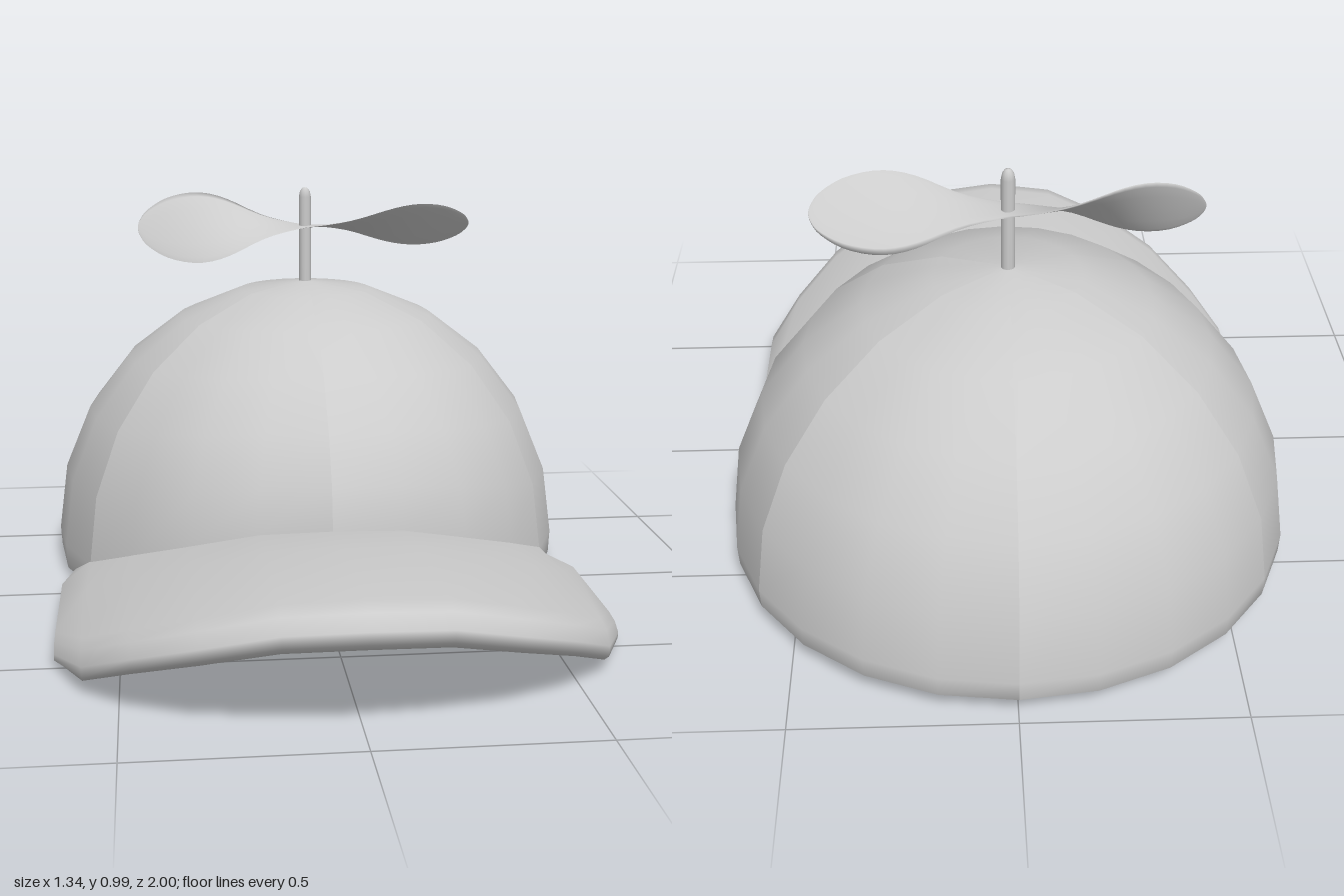
import * as THREE from 'three';

const R = 0.67, INNER = 0.61, CY = 0.084, CZ = -0.33;
const STEP = Math.PI / 12;
const { lerp, clamp } = THREE.MathUtils;

// Smooth surface from a rows x cols grid; point(i, j) returns [x, y, z]
function gridSurface(rows, cols, point) {
  const pos = [], index = [];
  for (let i = 0; i < rows; i++) for (let j = 0; j < cols; j++) pos.push(...point(i, j));
  for (let i = 0; i < rows - 1; i++) {
    for (let j = 0; j < cols - 1; j++) {
      const a = i * cols + j, b = a + cols;
      index.push(a, b, a + 1, a + 1, b, b + 1);
    }
  }
  const geo = new THREE.BufferGeometry();
  geo.setAttribute('position', new THREE.Float32BufferAttribute(pos, 3));
  geo.setIndex(index);
  geo.computeVertexNormals();
  return geo;
}

// Height of the cap's lower edge: arched in front, rising gently to the back
function rimHeight(k) {
  const n = Math.abs(k > 12 ? k - 24 : k);
  const front = [0.19, 0.18, 0.135, 0.08, 0.012, 0.008];
  return n < front.length ? front[n] : 0.058 - 0.055 * (CZ + R * Math.cos(n * STEP) + 1);
}

// Radius and height down the outside, round the rim and up the inside
function crownProfile(rim) {
  const p = [];
  const waist = Math.max(CY, rim + 0.065);
  // the arch in front pushes the lower rings of the ball upward
  const ball = (r, n) => p.push([r * Math.sin(n * STEP),
    CY + r * Math.cos(n * STEP) + (waist - CY) * (n / 6) ** 3]);
  for (let n = 0; n <= 6; n++) ball(R, n);
  p.push([R - 0.003, rim + 0.016], [R - 0.02, rim], [INNER + 0.012, rim], [INNER, rim + 0.02]);
  for (let n = 6; n >= 0; n--) ball(INNER, n);
  return p;
}

export function createModel() {
  const model = new THREE.Group();
  const mat = new THREE.MeshStandardMaterial({ color: 0xcccccc });
  const thin = new THREE.MeshStandardMaterial({ color: 0xcccccc, side: THREE.DoubleSide });
  const add = (name, geo, parent = model, material = mat) => {
    const mesh = new THREE.Mesh(geo, material);
    mesh.name = name;
    parent.add(mesh);
    return mesh;
  };

  // Crown: six panels, each smooth, with a seam between neighbours
  const crown = new THREE.Group();
  crown.name = 'crown';
  model.add(crown);
  for (let panel = 0; panel < 6; panel++) {
    const profiles = [0, 1, 2, 3, 4].map(j => crownProfile(rimHeight((panel * 4 + j) % 24)));
    add('crownPanel' + (panel + 1), gridSurface(profiles[0].length, 5, (i, j) => {
      const a = (panel * 4 + j) * STEP, [r, y] = profiles[j][i];
      return [r * Math.sin(a), y, CZ + r * Math.cos(a)];
    }), crown);
  }

  // Brim: the front of the crown swept forward as a padded arch
  const top = [0.297, 0.285, 0.237, 0.178, 0.11, 0.065];
  const bottom = [0.2, 0.19, 0.145, 0.09, 0.022, 0.01];
  // forward distance, position through the thickness, drop toward the crown
  const section = [[-0.015, 1, 0.042], [0.25, 1, 0], [0.58, 1, 0], [0.63, 0.9, 0], [0.66, 0.6, 0],
    [0.655, 0.3, 0], [0.62, 0.06, 0], [0.57, 0, 0], [0.25, 0, 0], [-0.015, 0, 0]];
  add('brim', gridSurface(section.length, 13, (i, j) => {
    const k = clamp(j - 6, -5, 5), n = Math.abs(k), a = k * STEP;
    const [s, t, drop] = section[i];
    // side edges are pinched shut and their rear corners tucked into the crown
    const tucked = n === 5 && (i === 0 || i === section.length - 1);
    const through = tucked || Math.abs(j - 6) === 6 ? 0.5 : t;
    const r = tucked ? 0.635 : R;
    return [r * Math.sin(a), lerp(bottom[n], top[n], through) - drop * Math.cos(a),
      CZ + r * Math.cos(a) + s];
  }), model, thin);

  // Stem with a rounded tip
  const stem = [[0.016, 0.73], [0.016, 0.975], [0.013, 0.99], [0.007, 0.998], [0, 1]];
  add('stem', new THREE.LatheGeometry(stem.map(p => new THREE.Vector2(...p)), 12)).position.z = CZ;

  // Propeller: one slim lens-shaped blade, twisted opposite ways on either side
  const outline = new THREE.SplineCurve([[0, 0.036], [0.1, 0.055], [0.2, 0.094], [0.28, 0.103],
    [0.36, 0.084], [0.415, 0.05], [0.437, 0.02], [0.442, 0]].map(p => new THREE.Vector2(...p)));
  const N = 24;
  add('propeller', gridSurface(2 * N + 1, 13, (i, j) => {
    const side = i < N ? -1 : 1;
    const p = outline.getPoint(Math.abs(i - N) / N);
    const pitch = (side < 0 ? -1.2 : 0.78) * Math.sin(p.x / 0.442 * Math.PI / 2);
    const half = Math.max(p.y, 0), a = j / 12 * Math.PI * 2;
    const w = half * Math.cos(a), t = half * 0.06 * Math.sin(a);
    return [side * p.x, 0.897 + w * Math.sin(pitch) + t * Math.cos(pitch),
      CZ + w * Math.cos(pitch) - t * Math.sin(pitch)];
  }));

  return model;
}
